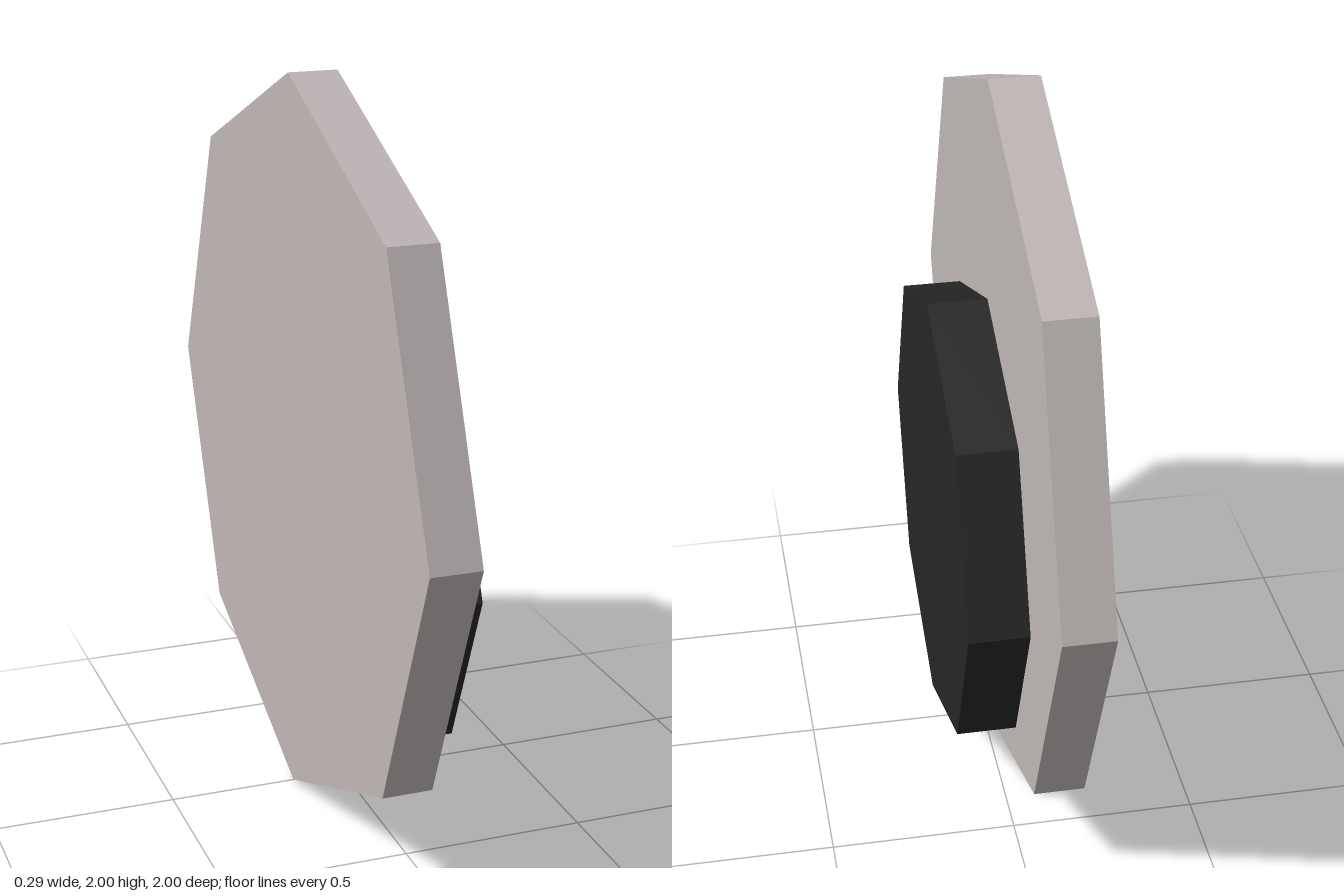
import * as THREE from 'three';

const paleGrey = new THREE.MeshStandardMaterial({ color: 0xbfb7b6 });
paleGrey.name = 'paleGrey';
const nearBlack = new THREE.MeshStandardMaterial({ color: 0x262626 });
nearBlack.name = 'nearBlack';

// Flat-sided octagonal disc whose axis runs along x, from x0 to x1
function octagonDisc(name, radius, x0, x1, y, material) {
  const geometry = new THREE.CylinderGeometry(radius, radius, x1 - x0, 8).toNonIndexed();
  geometry.rotateZ(-Math.PI / 2);
  geometry.computeVertexNormals();
  const mesh = new THREE.Mesh(geometry, material);
  mesh.name = name;
  mesh.position.set((x0 + x1) / 2, y, 0);
  return mesh;
}

export function createModel() {
  const group = new THREE.Group();
  group.name = 'octagonalDiscs';
  // Large backing disc, with a smaller dark disc set low on its left face
  group.add(octagonDisc('largeDisc', 1, -0.147, -0.013, 1, paleGrey));
  group.add(octagonDisc('smallDisc', 0.632, -0.013, 0.147, 0.75, nearBlack));
  return group;
}
